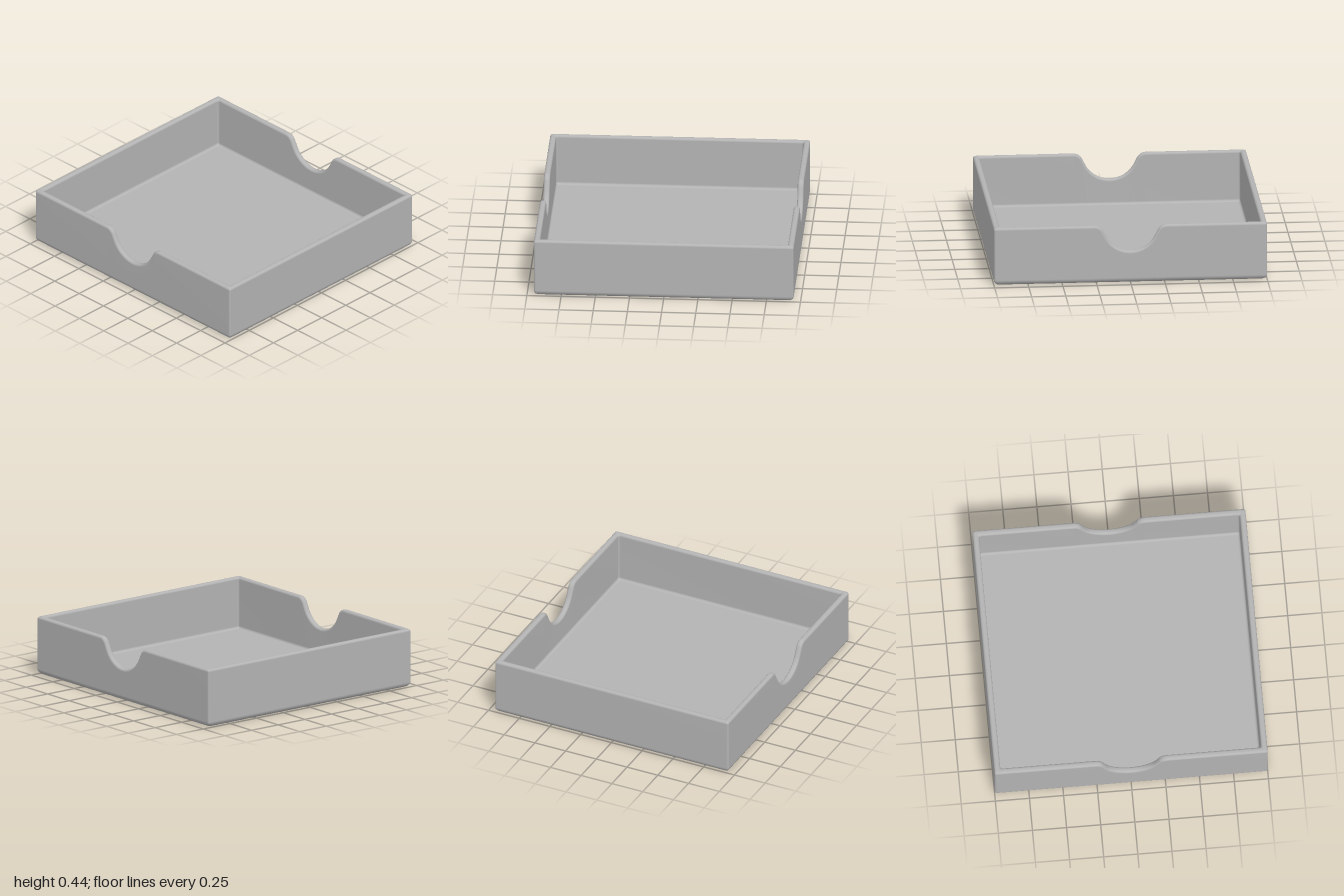
import * as THREE from 'three';

const HX = 1, HZ = 0.95, H = 0.435; // half width, half depth, height
const WALL = 0.045, FLOOR = 0.05, CORNER = 0.015;
const BASE_R = 0.04, RIM_R = 0.018, INNER_R = 0.02;

// Thumb notch, from its centre out to +x: a scoop, then a rounded shoulder.
// Each point carries the direction pointing out of the wall's top edge.
function notchHalf() {
  const pts = [], slope = Math.PI / 3;
  for (let i = 0; i <= 10; i++) {
    const a = slope * i / 10;
    pts.push({ x: 0.2 * Math.sin(a), y: 0.44 - 0.2 * Math.cos(a), nx: -Math.sin(a), ny: Math.cos(a) });
  }
  for (let i = 0; i <= 8; i++) {
    const a = slope * (1 - i / 8);
    pts.push({ x: 0.265 - 0.07 * Math.sin(a), y: H - 0.07 + 0.07 * Math.cos(a), nx: -Math.sin(a), ny: Math.cos(a) });
  }
  return pts;
}

// Wall section from the underside, over the rim, down to the inside floor.
// d = inset from the outside; y = fixed height, or drop = distance below the rim.
function wallSection() {
  const s = [{ centre: true, y: 0 }], N = 6;
  const arc = (n, f) => { for (let i = 0; i <= n; i++) s.push(f(i / n * Math.PI / 2)); };
  arc(N, a => ({ d: BASE_R * (1 - Math.sin(a)), y: BASE_R * (1 - Math.cos(a)) }));
  arc(N, a => ({ d: RIM_R * (1 - Math.cos(a)), drop: RIM_R * (1 - Math.sin(a)) }));
  arc(N, a => ({ d: WALL - RIM_R * (1 - Math.sin(a)), drop: RIM_R * (1 - Math.cos(a)) }));
  arc(N, a => ({ d: WALL + INNER_R * (1 - Math.cos(a)), y: FLOOR + INNER_R * (1 - Math.sin(a)) }));
  s.push({ centre: true, y: FLOOR });
  return s;
}

// Stations around the plan: front notch, corner, corner, back notch, corner, corner.
function planStations() {
  const half = notchHalf();
  const mirrored = half.slice(1).reverse().map(p => ({ ...p, x: -p.x, nx: -p.nx }));
  const notch = [...mirrored, ...half];
  const list = [];
  const corner = (sx, sz, start) => {
    for (let i = 0; i <= 4; i++) list.push({ sx, sz, a: start + i / 4 * Math.PI / 2 });
  };
  notch.forEach(p => list.push({ notch: p, sz: 1 }));
  corner(1, 1, -Math.PI / 2);
  corner(1, -1, 0);
  [...notch].reverse().forEach(p => list.push({ notch: p, sz: -1 }));
  corner(-1, -1, Math.PI / 2);
  corner(-1, 1, Math.PI);
  return list;
}

function trayPoint(sec, st) {
  if (sec.centre) return [0, sec.y, 0];
  if (st.notch) {
    const { x, y, nx, ny } = st.notch, z = st.sz * (HZ - sec.d);
    return sec.drop === undefined ? [x, sec.y, z] : [x - nx * sec.drop, y - ny * sec.drop, z];
  }
  return [
    st.sx * (HX - sec.d - CORNER) + CORNER * Math.cos(st.a),
    sec.drop === undefined ? sec.y : H - sec.drop,
    st.sz * (HZ - sec.d - CORNER) - CORNER * Math.sin(st.a),
  ];
}

function trayGeometry() {
  const sections = wallSection(), stations = planStations(), n = stations.length;
  const pos = [], index = [];
  sections.forEach(sec => stations.forEach(st => pos.push(...trayPoint(sec, st))));
  for (let i = 0; i < sections.length - 1; i++) {
    for (let j = 0; j < n; j++) {
      const k = (j + 1) % n;
      const a = i * n + j, b = i * n + k, c = b + n, d = a + n;
      if (!sections[i].centre) index.push(a, b, d);
      if (!sections[i + 1].centre) index.push(b, c, d);
    }
  }
  const geo = new THREE.BufferGeometry();
  geo.setAttribute('position', new THREE.Float32BufferAttribute(pos, 3));
  geo.setIndex(index);
  geo.computeVertexNormals();
  return geo;
}

export function createModel() {
  const group = new THREE.Group();
  group.name = 'openTray';
  const grey = new THREE.MeshStandardMaterial({ color: 0xb3b3b3 });
  grey.name = 'plainGrey';
  const tray = new THREE.Mesh(trayGeometry(), grey);
  tray.name = 'trayBody';
  group.add(tray);
  return group;
}
